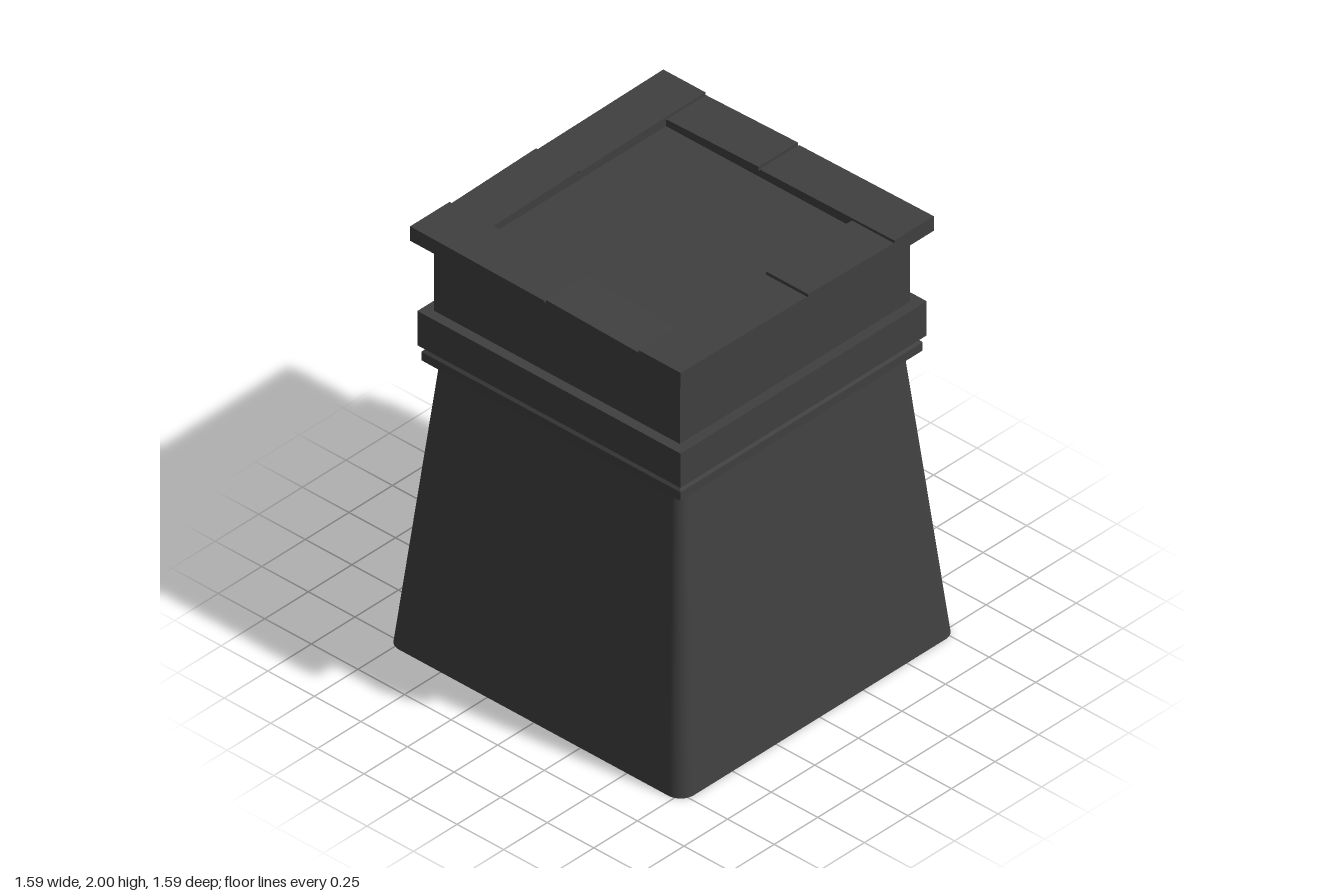
import * as THREE from 'three';

const mat = new THREE.MeshStandardMaterial({ color: 0x404040, side: THREE.DoubleSide });
const flat = new THREE.MeshStandardMaterial({ color: 0x404040, side: THREE.DoubleSide, flatShading: true });

function add(parent, name, geometry, material = flat) {
  const mesh = new THREE.Mesh(geometry, material);
  mesh.name = name;
  parent.add(mesh);
  return mesh;
}

// Square moulding: profile of [half width, height] swept round four sides
function squareMoulding(profile) {
  const pts = profile.map(([w, y]) => new THREE.Vector2(w * Math.SQRT2, y));
  return new THREE.LatheGeometry(pts, 4, Math.PI / 4).toNonIndexed();
}

// Tapered open shell with rounded corners; rings of [half width, corner radius, height]
function taperedShell(rings, steps = 8) {
  const pos = [], index = [];
  const n = 4 * (steps + 1);
  for (const [w, r, y] of rings) {
    for (let c = 0; c < 4; c++) {
      const mid = Math.PI / 4 + c * Math.PI / 2;
      const cx = Math.sign(Math.cos(mid)) * (w - r), cz = Math.sign(Math.sin(mid)) * (w - r);
      for (let s = 0; s <= steps; s++) {
        const a = (c + s / steps) * Math.PI / 2;
        pos.push(cx + r * Math.cos(a), y, cz + r * Math.sin(a));
      }
    }
  }
  for (let k = 0; k < rings.length - 1; k++) {
    for (let i = 0; i < n; i++) {
      const a = k * n + i, b = k * n + (i + 1) % n;
      index.push(a, a + n, b, b, a + n, b + n);
    }
  }
  const g = new THREE.BufferGeometry();
  g.setAttribute('position', new THREE.Float32BufferAttribute(pos, 3));
  g.setIndex(index);
  g.computeVertexNormals();
  return g;
}

// Coping slab along x whose top slopes from yA at x0 to yB at x1
function slab(x0, x1, z0, z1, bottom, yA, yB) {
  const g = new THREE.BoxGeometry(1, 1, 1);
  const p = g.attributes.position;
  for (let i = 0; i < p.count; i++) {
    const right = p.getX(i) > 0;
    const top = right ? yB : yA;
    p.setXYZ(i, right ? x1 : x0, p.getY(i) > 0 ? top : bottom, p.getZ(i) > 0 ? z1 : z0);
  }
  g.computeVertexNormals();
  return g;
}

export function createModel() {
  const model = new THREE.Group();
  model.name = 'pedestal';

  // Hollow tapered base, open underneath
  add(model, 'base', taperedShell([[0.793, 0.07, 0], [0.66, 0.05, 1.335]]), mat);

  // Mouldings and neck
  add(model, 'lowerMoulding', squareMoulding(
    [[0.62, 1.325], [0.665, 1.325], [0.695, 1.355], [0.695, 1.395], [0.67, 1.425]]));
  add(model, 'band', squareMoulding(
    [[0.62, 1.427], [0.706, 1.427], [0.706, 1.592], [0.655, 1.592]]));
  add(model, 'neck', squareMoulding([[0.66, 1.42], [0.66, 1.93]]));

  // Recessed top panel
  const panel = add(model, 'topPanel', new THREE.BoxGeometry(1.02, 0.025, 1.02));
  panel.position.y = 1.942;

  // Lip around the recess
  add(model, 'lip', squareMoulding(
    [[0.5, 1.93], [0.726, 1.93], [0.726, 1.985], [0.5, 1.985], [0.5, 1.93]]));

  // One long and one short coping slab per side, pinwheeled round the top
  for (let i = 0; i < 4; i++) {
    const side = new THREE.Group();
    side.name = 'copingSide';
    side.rotation.y = i * Math.PI / 2;
    add(side, 'longSlab', slab(-0.726, -0.004, 0.5, 0.726, 1.98, 2.0, 1.991));
    add(side, 'shortSlab', slab(0.004, 0.498, 0.5, 0.726, 1.98, 2.0, 1.988));
    model.add(side);
  }
  return model;
}
